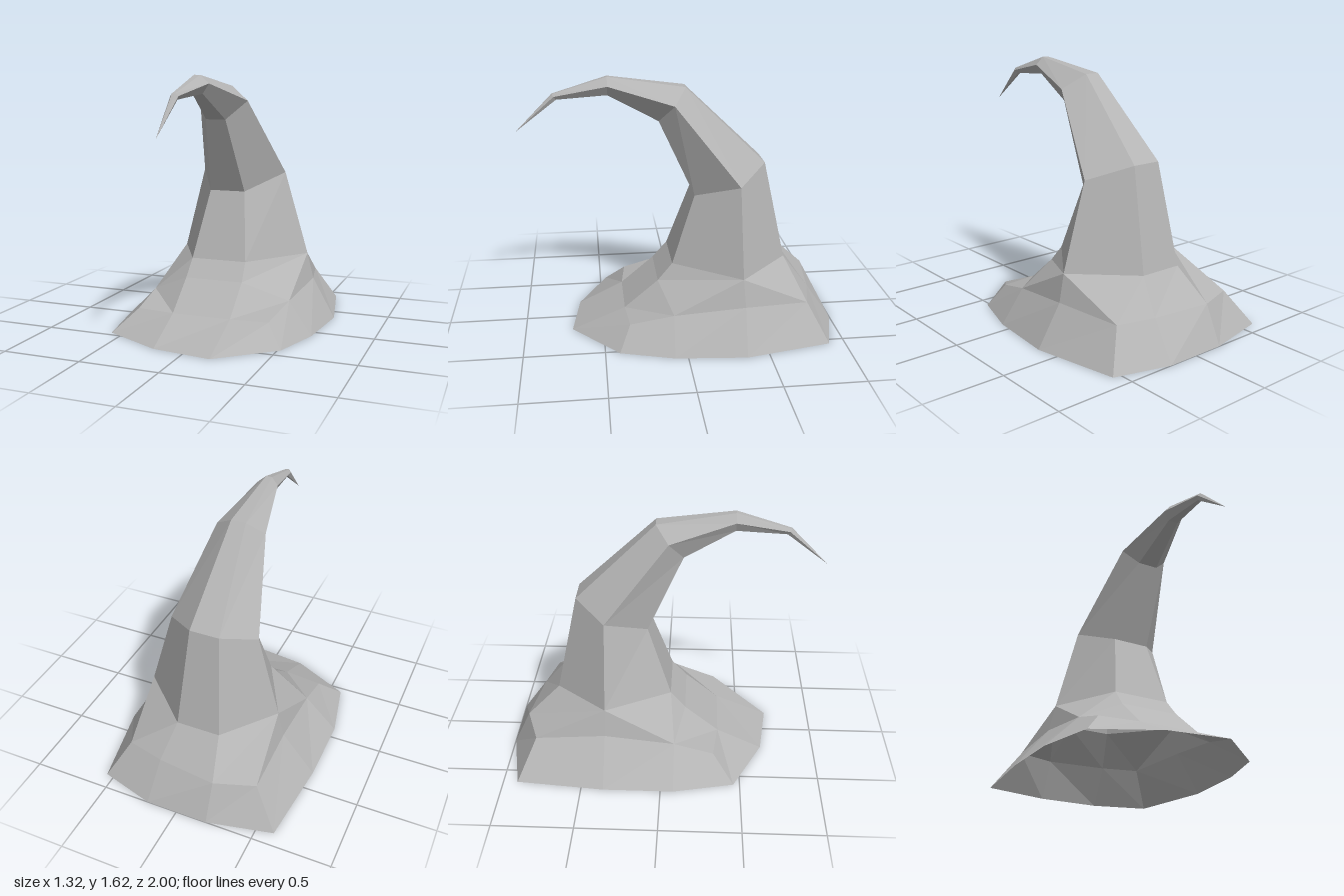
import * as THREE from 'three';

// Flat-shaded surface from polygons, each a convex loop of [x, y, z] corners
function faceted(polygons) {
  const pos = [];
  for (const p of polygons) {
    for (let i = 1; i < p.length - 1; i++) pos.push(...p[0], ...p[i], ...p[i + 1]);
  }
  const geo = new THREE.BufferGeometry();
  geo.setAttribute('position', new THREE.Float32BufferAttribute(pos, 3));
  geo.computeVertexNormals();
  return geo;
}

// Quads joining two closed rings of equal length
function band(lower, upper) {
  return lower.map((p, i) => {
    const j = (i + 1) % lower.length;
    return [p, lower[j], upper[j], upper[i]];
  });
}

// Six-sided ring: front pair, side pair and back pair, each [y, z, xRight, xLeft]
function ring([fy, fz, fr, fl], [sy, sz, sr, sl], [by, bz, br, bl]) {
  return [[fr, fy, fz], [fl, fy, fz], [sl, sy, sz], [bl, by, bz], [br, by, bz], [sr, sy, sz]];
}

export function createModel() {
  const grey = new THREE.MeshStandardMaterial({ color: 0xb4b4b4, flatShading: true, side: THREE.DoubleSide });
  grey.name = 'feltGrey';
  const hat = new THREE.Group();
  hat.name = 'pointedHat';
  const add = (name, polygons) => {
    const mesh = new THREE.Mesh(faceted(polygons), grey);
    mesh.name = name;
    hat.add(mesh);
  };

  // Brim edge on the ground and the raised ring inside it
  const edge = [
    [-0.2, 0, 0.65], [0.18, 0, 0.7], [0.52, 0, 0.41], [0.62, 0, 0.08], [0.66, 0, -0.36], [0.55, 0, -0.9],
    [0.2, 0, -1], [-0.2, 0, -1], [-0.61, 0, -0.91], [-0.66, 0, -0.36], [-0.66, 0, 0.08], [-0.58, 0, 0.46],
  ];
  const m = [
    [-0.2, 0.14, 0.36], [0.18, 0.14, 0.36], [0.42, 0.14, 0.34], [0.47, 0.21, 0.07], [0.51, 0.26, -0.37], [0.42, 0.23, -0.78],
    [0.18, 0.23, -0.84], [-0.2, 0.235, -0.89], [-0.45, 0.23, -0.8], [-0.45, 0.26, -0.36], [-0.45, 0.21, 0.08], [-0.45, 0.14, 0.33],
  ];
  add('brim', band(edge, m));

  // Cone rings from the base to the bent end
  const rings = [
    ring([0.43, 0.05, -0.195, 0.17], [0.43, -0.36, -0.41, 0.47], [0.43, -0.685, -0.15, 0.13]),
    ring([0.863, -0.1, -0.125, 0.11], [0.97, -0.36, -0.27, 0.31], [1.06, -0.55, -0.1, 0.09]),
    ring([1.34, 0.12, -0.07, 0.06], [1.455, 0.03, -0.145, 0.175], [1.545, -0.05, -0.05, 0.045]),
    ring([1.505, 0.43, -0.03, 0.035], [1.565, 0.43, -0.06, 0.075], [1.615, 0.43, -0.02, 0.02]),
    ring([1.48, 0.74, -0.012, 0.012], [1.5, 0.755, -0.025, 0.025], [1.515, 0.765, -0.01, 0.01]),
  ];

  // Flare from the twelve-sided brim to the six-sided cone
  const c = rings[0];
  const f0 = [-0.2, 0.32, 0.145];
  const f1 = [0.18, 0.32, 0.145];
  add('flare', [
    [m[0], m[1], f1, f0], [f0, f1, c[1], c[0]],
    [m[1], m[2], m[3], f1], [f1, m[3], c[2], c[1]],
    [m[3], m[4], c[2]], [m[4], m[5], c[2]], [m[5], m[6], c[3], c[2]],
    [m[6], m[7], c[4], c[3]],
    [m[7], m[8], c[5], c[4]], [m[8], m[9], c[5]], [m[9], m[10], c[5]],
    [m[10], f0, c[0], c[5]], [m[10], m[11], m[0], f0],
  ]);

  // Cone, curling forward
  const cone = [];
  for (let i = 0; i < rings.length - 1; i++) cone.push(...band(rings[i], rings[i + 1]));
  add('cone', cone);

  // Drooping point
  const tip = [0, 1.28, 1];
  const last = rings[rings.length - 1];
  add('tip', last.map((p, i) => [p, last[(i + 1) % last.length], tip]));

  return hat;
}
